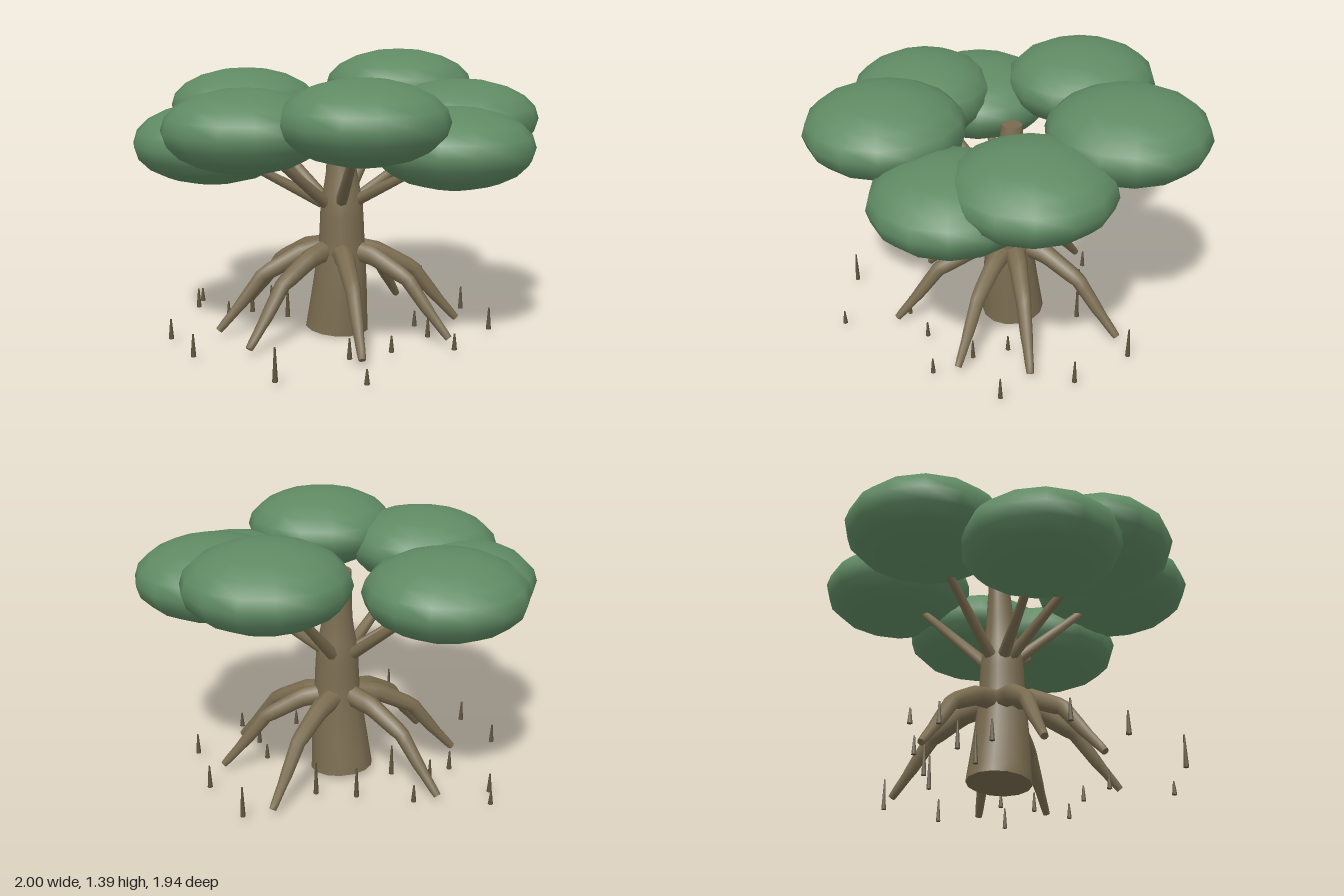
import * as THREE from 'three';
import { toCreasedNormals } from 'three/addons/utils/BufferGeometryUtils.js';

const V = (x, y, z) => new THREE.Vector3(x, y, z);

// Capped limb swept along points, with a radius given at each point
function limb(points, radii, sides, steps, sharpness = 0) {
  const curve = new THREE.CatmullRomCurve3(points, false, 'catmullrom', sharpness);
  const frames = curve.computeFrenetFrames(steps);
  const geo = new THREE.CylinderGeometry(1, 1, 1, sides, steps);
  const pos = geo.attributes.position;
  for (let i = 0; i < pos.count; i++) {
    const k = Math.round((pos.getY(i) + 0.5) * steps);
    const t = curve.getUtoTmapping(k / steps) * (radii.length - 1);
    const a = Math.min(Math.floor(t), radii.length - 2);
    const r = THREE.MathUtils.lerp(radii[a], radii[a + 1], t - a);
    const p = curve.getPointAt(k / steps)
      .addScaledVector(frames.binormals[k], pos.getX(i) * r)
      .addScaledVector(frames.normals[k], pos.getZ(i) * r);
    pos.setXYZ(i, p.x, p.y, p.z);
  }
  return toCreasedNormals(geo, 1);
}

export function createModel() {
  const model = new THREE.Group();
  const bark = new THREE.MeshStandardMaterial({ color: 0x7a6c50 });
  bark.name = 'bark';
  const leaf = new THREE.MeshStandardMaterial({ color: 0x5f8a63 });
  leaf.name = 'leaf green';
  const shoot = new THREE.MeshStandardMaterial({ color: 0x60553f });
  shoot.name = 'dark shoot';

  const add = (name, geo, mat) => {
    const mesh = new THREE.Mesh(geo, mat);
    mesh.name = name;
    model.add(mesh);
    return mesh;
  };

  // Trunk: wide foot, narrowing above the branches
  add('trunk', limb(
    [V(-0.005, 0.008, 0), V(0.015, 0.24, 0.005), V(0.025, 0.45, 0.005), V(0.025, 0.65, 0.005),
      V(0.02, 0.82, 0), V(0, 1.08, 0)],
    [0.16, 0.138, 0.117, 0.107, 0.077, 0.052], 14, 20, 0.5), bark);

  // Each arm: angle in degrees, canopy height; root, branch and leaf pad share the angle
  const arms = [[0, 0.97], [51.5, 1.13], [105.5, 1.07], [137.6, 0.975],
    [190.2, 1.095], [274.2, 1.185], [326, 1.065]];
  const padGeo = new THREE.SphereGeometry(1, 14, 10);
  arms.forEach(([deg, height], i) => {
    const a = THREE.MathUtils.degToRad(deg);
    const at = (r, y) => V(Math.cos(a) * r, y, Math.sin(a) * r);

    // Arched prop root
    add('propRoot', limb(
      [at(0.07, 0.42), at(0.2, 0.395), at(0.385, 0.3), at(0.5, 0.155), at(0.61, 0.03)],
      [0.055, 0.049, 0.039, 0.029, 0.018], 8, 16), bark);

    // Straight branch up into the leaf pad
    add('branch', limb([at(0.08, 0.655), at(0.56, height - 0.05)], [0.031, 0.017], 7, 2), bark);

    // Flattened leaf pad
    const pad = add('leafPad', padGeo, leaf);
    const p = at(0.615, height);
    pad.position.copy(p);
    pad.scale.set(i === 2 ? 0.36 : 0.39, 0.195, 0.39);
    pad.rotation.y = i * 0.9;
  });

  // Breathing shoots: x, z, height
  const shoots = [
    [-0.61, 0.59, 0.1], [-0.36, 0.76, 0.11], [-0.8, 0.08, 0.1], [0.15, 0.87, 0.16],
    [-0.53, 0.2, 0.1], [-0.5, 0.02, 0.13], [-0.29, 0.01, 0.16], [0.3, 0.45, 0.1],
    [0.52, 0.71, 0.07], [0.43, 0.27, 0.08], [-0.05, -0.35, 0.17], [0.36, -0.15, 0.08],
    [0.49, -0.02, 0.1], [0.68, 0.1, 0.08], [0.15, -0.71, 0.16], [0.71, -0.28, 0.11],
    [0.45, -0.55, 0.12], [-0.24, -0.28, 0.16], [-0.51, -0.19, 0.09], [-0.85, -0.03, 0.07],
  ];
  const shootGeo = new THREE.CylinderGeometry(0.004, 0.013, 1, 6);
  for (const [x, z, h] of shoots) {
    const mesh = add('breathingShoot', shootGeo, shoot);
    mesh.scale.y = h;
    mesh.position.set(x, 0.015 + h / 2, z);
  }
  return model;
}
